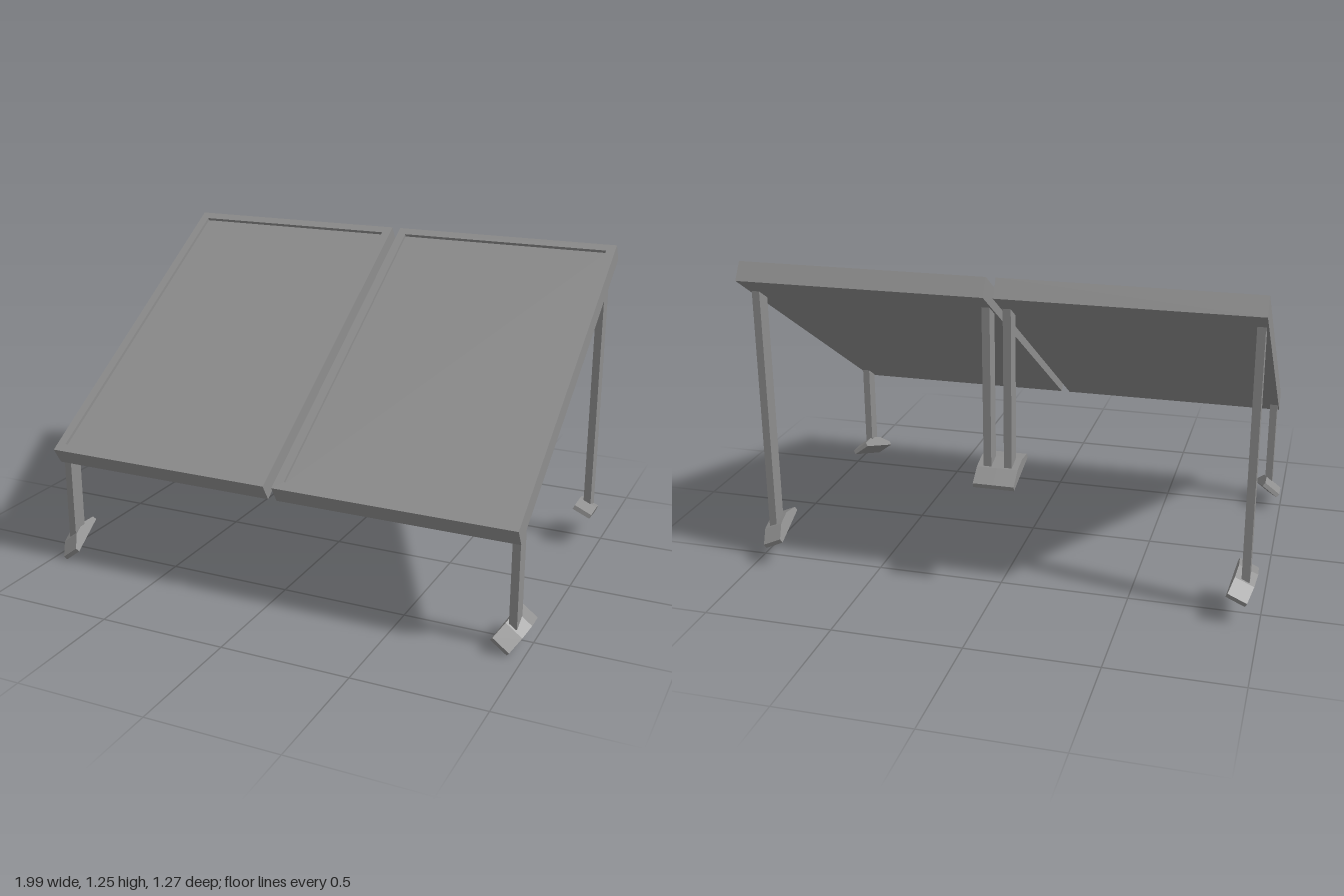
import * as THREE from 'three';

const mat = new THREE.MeshStandardMaterial({ color: 0x8e8e8e, flatShading: true });

function mesh(name, geometry, x = 0, y = 0, z = 0) {
  const m = new THREE.Mesh(geometry, mat);
  m.name = name;
  m.position.set(x, y, z);
  return m;
}

function rect(path, w, h) {
  path.moveTo(-w / 2, -h / 2);
  path.lineTo(w / 2, -h / 2);
  path.lineTo(w / 2, h / 2);
  path.lineTo(-w / 2, h / 2);
  path.closePath();
  return path;
}

// Raised rim around a slightly sunken flat sheet, lying flat and centred
function createPanel() {
  const w = 0.946, l = 1.448, t = 0.077, rim = 0.036, sunk = 0.013;
  const panel = new THREE.Group();
  panel.name = 'panel';
  const shape = rect(new THREE.Shape(), w, l);
  shape.holes.push(rect(new THREE.Path(), w - 2 * rim, l - 2 * rim));
  const frame = new THREE.ExtrudeGeometry(shape, { depth: t, bevelEnabled: false });
  frame.rotateX(-Math.PI / 2).translate(0, -t / 2, 0);
  panel.add(mesh('panelFrame', frame));
  const sheet = new THREE.BoxGeometry(w - 2 * rim, t - sunk, l - 2 * rim);
  panel.add(mesh('panelSheet', sheet, 0, -sunk / 2, 0));
  return panel;
}

// Foot pad: thin ends, thicker flat middle, origin at the centre of its sole
function footGeometry() {
  const w = 0.079;
  const profile = new THREE.Shape([
    [-0.102, 0], [0.102, 0], [0.102, 0.018], [0.035, 0.046], [-0.035, 0.046], [-0.102, 0.018],
  ].map(([x, y]) => new THREE.Vector2(x, y)));
  const g = new THREE.ExtrudeGeometry(profile, { depth: w, bevelEnabled: false });
  return g.translate(0, 0, -w / 2).rotateY(Math.PI / 2);
}

// Post with a tilted foot; side mirrors it across x
function createLeg(name, side, p) {
  const leg = new THREE.Group();
  leg.name = name;
  const post = new THREE.BoxGeometry(0.03, p.top - p.bottom, 0.063);
  leg.add(mesh('post', post, side * p.x, (p.top + p.bottom) / 2, p.z));
  const foot = mesh('foot', footGeometry(), side * p.footX, p.footY, p.footZ);
  // Rolled outward after being pitched along its length
  foot.rotation.order = 'ZXY';
  foot.rotation.set(THREE.MathUtils.degToRad(p.pitch), 0, -side * THREE.MathUtils.degToRad(p.roll));
  leg.add(foot);
  return leg;
}

export function createModel() {
  const model = new THREE.Group();
  model.name = 'tiltedPanelArray';

  const legs = {
    frontLeg: { x: 0.943, z: 0.546, bottom: 0.08, top: 0.48, footX: 0.932, footY: 0.056, footZ: 0.535, pitch: 22, roll: 37 },
    backLeg: { x: 0.939, z: -0.501, bottom: 0.135, top: 1.13, footX: 0.922, footY: 0.118, footZ: -0.493, pitch: -16, roll: 24 },
    middleLeg: { x: 0.0395, z: -0.501, bottom: 0.485, top: 1.13, footX: 0.0395, footY: 0.466, footZ: -0.493, pitch: -16, roll: 0 },
  };

  for (const side of [-1, 1]) {
    const panel = createPanel();
    panel.position.set(side * 0.491, 0.831, 0);
    panel.rotation.x = THREE.MathUtils.degToRad(32);
    model.add(panel);
    for (const [name, p] of Object.entries(legs)) model.add(createLeg(name, side, p));
  }
  return model;
}
